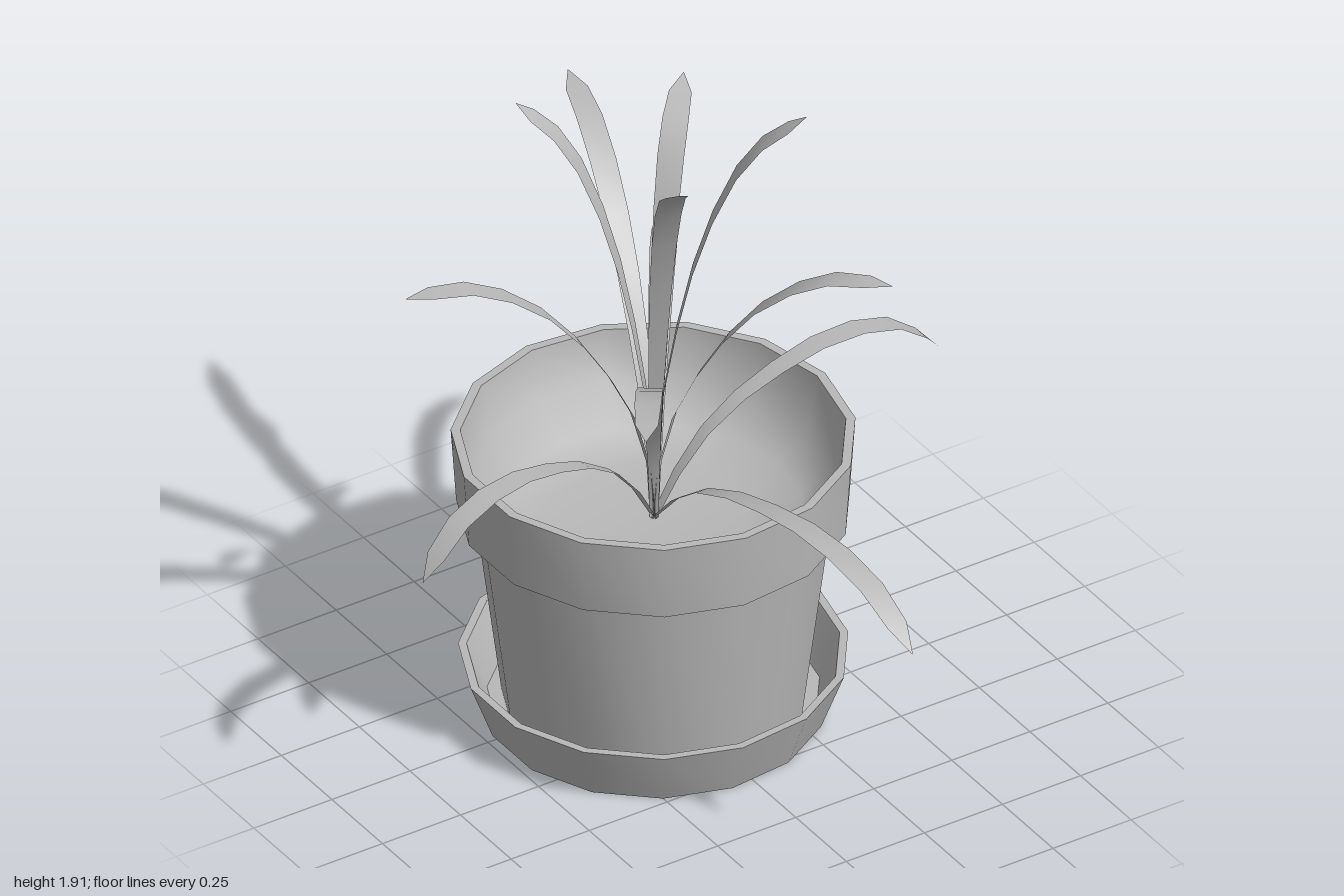
import * as THREE from 'three';
import { toCreasedNormals } from 'three/addons/utils/BufferGeometryUtils.js';

const SIDES = 15;
const CENTER = new THREE.Vector3(-0.018, 0, -0.172);

const grey = new THREE.MeshStandardMaterial({ color: 0xb8b8b8, side: THREE.DoubleSide });
grey.name = 'grey';

// Fifteen-sided turned part from [radius, y] points
function turned(name, profile) {
  const points = profile.map(([r, y]) => new THREE.Vector2(r, y));
  const geometry = toCreasedNormals(new THREE.LatheGeometry(points, SIDES, Math.PI / 2), 0.85);
  const mesh = new THREE.Mesh(geometry, grey);
  mesh.name = name;
  mesh.position.copy(CENTER);
  return mesh;
}

// Leaf arcs as [reach, height] fractions, from root to tip
const ARCS = {
  tall: [[0, 0], [0.03, 0.22], [0.13, 0.44], [0.33, 0.7], [0.62, 0.9], [1, 1]],
  middle: [[0, 0], [0.05, 0.3], [0.25, 0.63], [0.48, 0.85], [0.75, 0.975], [1, 0.99]],
  low: [[0, 0], [0.1, 0.38], [0.23, 0.68], [0.45, 0.91], [0.67, 1], [0.88, 0.87], [1, 0.58]],
};
const ROOT_Y = 0.6;

// Flat strap leaf: widens from the root, then closes to a point
function leaf(arc, tipX, tipZ, peak) {
  const curve = new THREE.CatmullRomCurve3(
    ARCS[arc].map(([s, h]) => new THREE.Vector3(s, h * (peak - ROOT_Y), 0)));
  const dx = tipX - CENTER.x, dz = tipZ - CENTER.z;
  const reach = Math.hypot(dx, dz);
  const steps = [0, 0.12, 0.24, 0.36, 0.48, 0.6, 0.72, 0.83, 0.93, 1];
  const widths = [0.024, 0.032, 0.042, 0.052, 0.061, 0.068, 0.073, 0.072, 0.062, 0.002];
  const positions = [], index = [];
  steps.forEach((t, i) => {
    const p = curve.getPointAt(t);
    const half = widths[i] / 2;
    for (const side of [-1, 1]) {
      positions.push(
        CENTER.x + dx * p.x - side * half * dz / reach,
        ROOT_Y + p.y,
        CENTER.z + dz * p.x + side * half * dx / reach);
    }
    if (i > 0) {
      const a = 2 * i - 2;
      index.push(a, a + 1, a + 2, a + 1, a + 3, a + 2);
    }
  });
  const geometry = new THREE.BufferGeometry();
  geometry.setAttribute('position', new THREE.Float32BufferAttribute(positions, 3));
  geometry.setIndex(index);
  geometry.computeVertexNormals();
  const mesh = new THREE.Mesh(geometry, grey);
  mesh.name = arc + 'Leaf';
  return mesh;
}

export function createModel() {
  const model = new THREE.Group();
  model.name = 'pottedPlant';

  // Saucer with a hollow top
  model.add(turned('saucer', [
    [0, 0], [0.465, 0], [0.528, 0.17], [0.505, 0.17], [0.45, 0.03], [0, 0.03],
  ]));

  // Tapered pot with an overhanging rim and a dished inside
  model.add(turned('pot', [
    [0, 0.032], [0.412, 0.032], [0.488, 0.637], [0.533, 0.637], [0.548, 0.865],
    [0.522, 0.865], [0.495, 0.72], [0.4, 0.625], [0.25, 0.605], [0, 0.6],
  ]));

  // Leaves: arc, tip x, tip z, highest y
  const leaves = new THREE.Group();
  leaves.name = 'leaves';
  [
    ['tall', -0.30, -0.42, 1.91],
    ['tall', -0.17, 0.19, 1.91],
    ['tall', 0.32, 0.06, 1.91],
    ['tall', 0.27, -0.47, 1.77],
    ['middle', 0.23, -0.98, 1.51],
    ['middle', 0.40, 0.36, 1.51],
    ['middle', -0.73, -0.30, 1.51],
    ['middle', -0.48, 0.50, 1.41],
    ['low', 0.56, -1.0, 0.99],
    ['low', 0.89, -0.17, 0.98],
    ['low', -0.89, 0.03, 0.99],
    ['low', 0.05, 1.0, 0.945],
  ].forEach((spec) => leaves.add(leaf(...spec)));
  model.add(leaves);

  return model;
}
